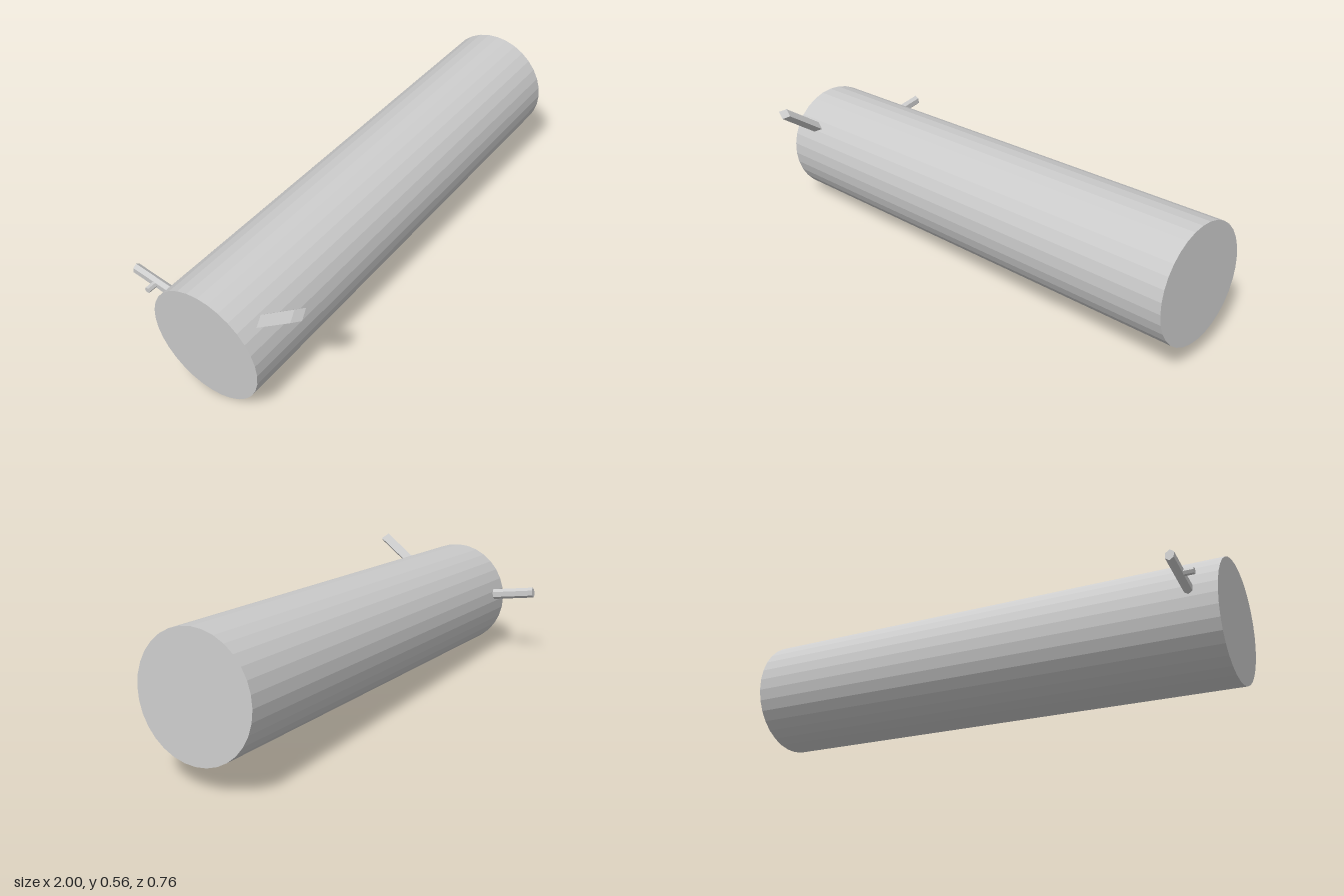
import * as THREE from 'three';

const material = new THREE.MeshStandardMaterial({ color: 0xcccccc, flatShading: true });

function addMesh(parent, name, geometry) {
  const mesh = new THREE.Mesh(geometry, material);
  mesh.name = name;
  parent.add(mesh);
  return mesh;
}

// Rod standing radially on the barrel: angle runs from +z up towards +y.
// Its section is 2 * halfAxial along the barrel and 2 * halfAcross around it.
function radialRod(sides, halfAxial, halfAcross, inner, outer, angle) {
  const g = new THREE.CylinderGeometry(1, 1, outer - inner, sides);
  g.scale(halfAxial, 1, halfAcross);
  g.translate(0, (inner + outer) / 2, 0);
  g.rotateX(Math.PI / 2 - angle);
  return g;
}

export function createModel() {
  const model = new THREE.Group();
  model.name = 'barrelWithPegs';

  // Everything is laid out along a slightly tilted axis
  const tilted = new THREE.Group();
  tilted.name = 'tiltedBody';
  const axis = new THREE.Vector3(1.95, 0.1, -0.177).normalize();
  tilted.quaternion.setFromUnitVectors(new THREE.Vector3(1, 0, 0), axis);
  tilted.position.set(0, 0.28, -0.048);
  model.add(tilted);

  // Main barrel
  const barrel = new THREE.CylinderGeometry(0.23, 0.23, 1.96, 32);
  barrel.rotateZ(-Math.PI / 2);
  barrel.rotateX(THREE.MathUtils.degToRad(2));
  addMesh(tilted, 'barrel', barrel);

  // Diamond-section post on the upper front
  const post = radialRod(4, 0.04, 0.0225, 0.19, 0.417, THREE.MathUtils.degToRad(35.5));
  addMesh(tilted, 'frontPost', post).position.x = -0.868;

  // Tap on the back: a peg with a short spur towards the near end
  const tap = new THREE.Group();
  tap.name = 'backTap';
  tap.position.x = -0.878;
  tilted.add(tap);
  const angle = THREE.MathUtils.degToRad(170);
  addMesh(tap, 'tapPeg', radialRod(6, 0.017, 0.0225, 0.19, 0.417, angle));

  const spur = new THREE.CylinderGeometry(0.012, 0.012, 0.05, 6);
  spur.rotateZ(Math.PI / 2);
  addMesh(tap, 'tapSpur', spur)
    .position.set(-0.025, 0.315 * Math.sin(angle), 0.315 * Math.cos(angle));

  return model;
}
